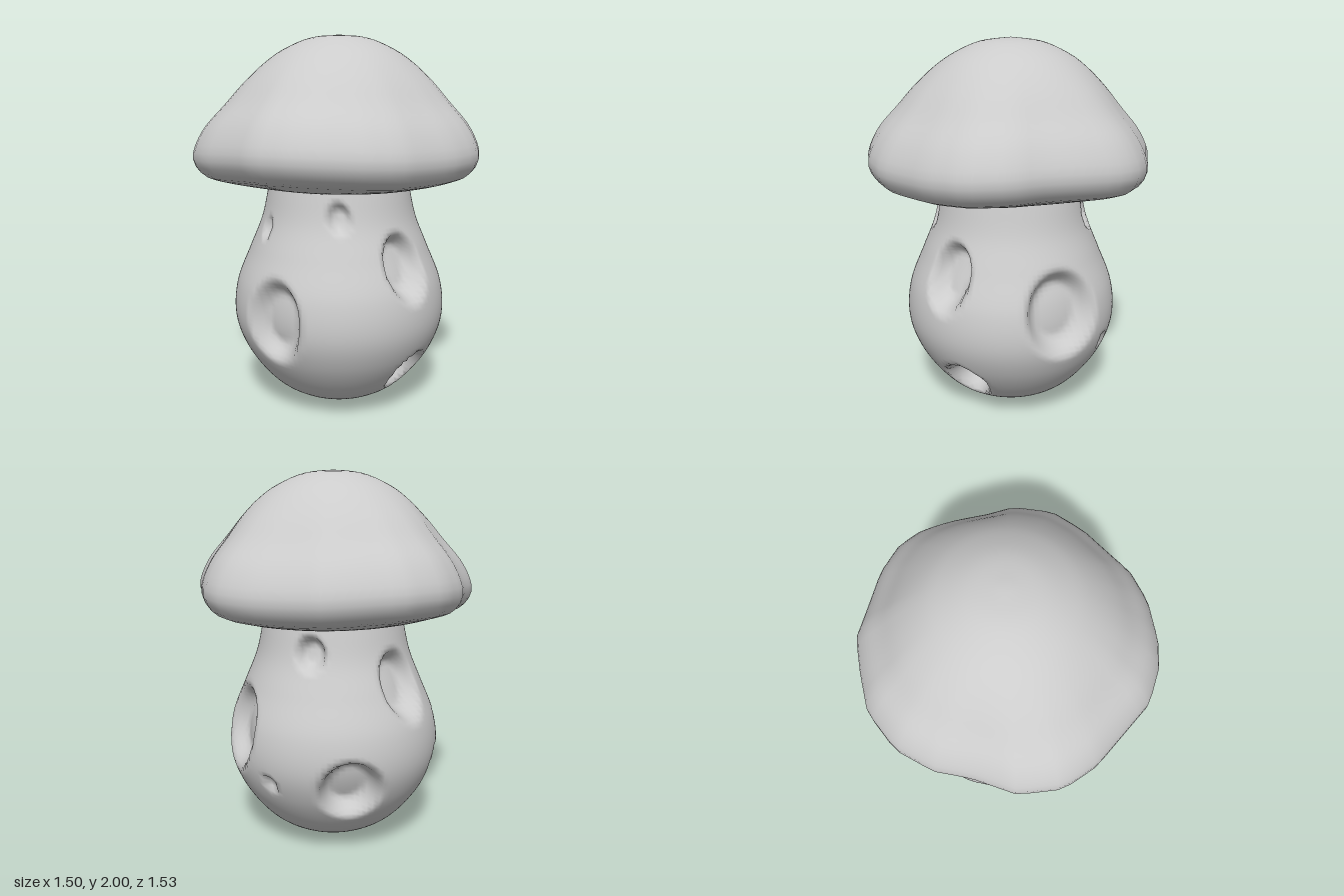
import * as THREE from 'three';
import { mergeVertices } from 'three/addons/utils/BufferGeometryUtils.js';

const material = new THREE.MeshStandardMaterial({ color: 0xcccccc });
const rad = THREE.MathUtils.degToRad;

// Turned body without a seam, with every vertex moved by a rule.
function turned(name, points, sides, move) {
  const lathe = new THREE.LatheGeometry(points, sides);
  lathe.deleteAttribute('uv');
  lathe.deleteAttribute('normal');
  const geometry = mergeVertices(lathe, 1e-5);
  const pos = geometry.attributes.position;
  const p = new THREE.Vector3();
  for (let i = 0; i < pos.count; i++) {
    move(p.fromBufferAttribute(pos, i));
    pos.setXYZ(i, p.x, p.y, p.z);
  }
  geometry.computeVertexNormals();
  const mesh = new THREE.Mesh(geometry, material);
  mesh.name = name;
  return mesh;
}

function profile(pairs, steps) {
  const curve = new THREE.SplineCurve(pairs.map(([r, y]) => new THREE.Vector2(r, y)));
  return curve.getSpacedPoints(steps).map((v) => new THREE.Vector2(Math.max(0, v.x), v.y));
}

// Hollows in the stem: [angle from front towards left, height, half width, half height, depth]
const hollows = [
  [6, 0.56, 0.17, 0.22, 0.1],
  [84, 0.82, 0.13, 0.18, 0.1],
  [93, 0.24, 0.12, 0.12, 0.13],
  [152, 0.65, 0.21, 0.23, 0.11],
  [229, 0.41, 0.17, 0.17, 0.12],
  [268, 0.9, 0.14, 0.19, 0.09],
  [298, 0.4, 0.11, 0.13, 0.11],
  [203, 1.08, 0.08, 0.09, 0.07],
  [42, 1.08, 0.06, 0.08, 0.05],
  [-17, 1.0, 0.04, 0.06, 0.03],
  [306, 0.65, 0.06, 0.06, 0.03],
  [184, 0.42, 0.04, 0.05, 0.03],
];

function carve(p) {
  const start = p.clone();
  for (const [deg, y, w, h, depth] of hollows) {
    const a = rad(deg);
    const facing = start.x * Math.sin(a) + start.z * Math.cos(a);
    if (facing <= 0) continue;
    const side = start.x * Math.cos(a) - start.z * Math.sin(a);
    const d = Math.hypot(side / w, (start.y - y) / h);
    const push = depth * (1 - THREE.MathUtils.smoothstep(d, 0.55, 1.05));
    // Low hollows are pressed upwards as well as inwards
    const dir = new THREE.Vector3(-Math.sin(a), Math.max(0, 1.6 * (0.5 - y)), -Math.cos(a));
    p.addScaledVector(dir.normalize(), push);
  }
}

// Uneven outline of the cap rim seen from above: x, z
const rim = [
  [-0.76, -0.09], [-0.73, 0.12], [-0.65, 0.28], [-0.58, 0.5], [-0.43, 0.66], [-0.25, 0.725],
  [0.15, 0.76], [0.33, 0.7], [0.45, 0.62], [0.6, 0.47], [0.69, 0.31], [0.75, -0.02],
  [0.74, -0.22], [0.63, -0.41], [0.5, -0.5], [0.34, -0.64], [0.21, -0.73], [0.08, -0.77],
  [-0.09, -0.75], [-0.44, -0.61], [-0.57, -0.47], [-0.7, -0.31],
];

// Distance from the axis to the rim outline in direction (dx, dz)
function rimRadius(dx, dz) {
  for (let i = 0; i < rim.length; i++) {
    const [ax, az] = rim[i];
    const [bx, bz] = rim[(i + 1) % rim.length];
    const ca = ax * dz - az * dx;
    const cb = bx * dz - bz * dx;
    if (ca * cb > 0) continue;
    const t = ca / (ca - cb || 1);
    const r = (ax + (bx - ax) * t) * dx + (az + (bz - az) * t) * dz;
    if (r > 0) return r;
  }
  return 0.755;
}

function shapeCap(p) {
  const r = Math.hypot(p.x, p.z);
  if (r < 1e-4) return;
  const a = Math.atan2(p.x, p.z);
  const uneven = rimRadius(p.x / r, p.z / r) / 0.755;
  const blend = THREE.MathUtils.smoothstep(r, 0.3, 0.72);
  const scale = 1 + (uneven - 1) * blend;
  p.x *= scale;
  p.z *= scale;
  // Gentle wave along the lower edge
  p.y += 0.012 * Math.sin(3 * a + 0.6) * blend;
}

export function createModel() {
  const model = new THREE.Group();
  model.name = 'mushroom';

  const stem = profile([
    [0, 0], [0.17, 0.02], [0.32, 0.09], [0.43, 0.19], [0.53, 0.34], [0.58, 0.5],
    [0.565, 0.68], [0.49, 0.87], [0.425, 1.03], [0.39, 1.18], [0.37, 1.28],
  ], 70);
  model.add(turned('stem', stem, 120, carve));

  const cap = profile([
    [0, 1.22], [0.2, 1.2], [0.38, 1.2], [0.6, 1.245], [0.71, 1.29], [0.755, 1.385], [0.7, 1.52],
    [0.59, 1.65], [0.5, 1.755], [0.4, 1.85], [0.3, 1.92], [0.16, 1.98], [0, 2],
  ], 48);
  model.add(turned('cap', cap, 72, shapeCap));

  return model;
}
